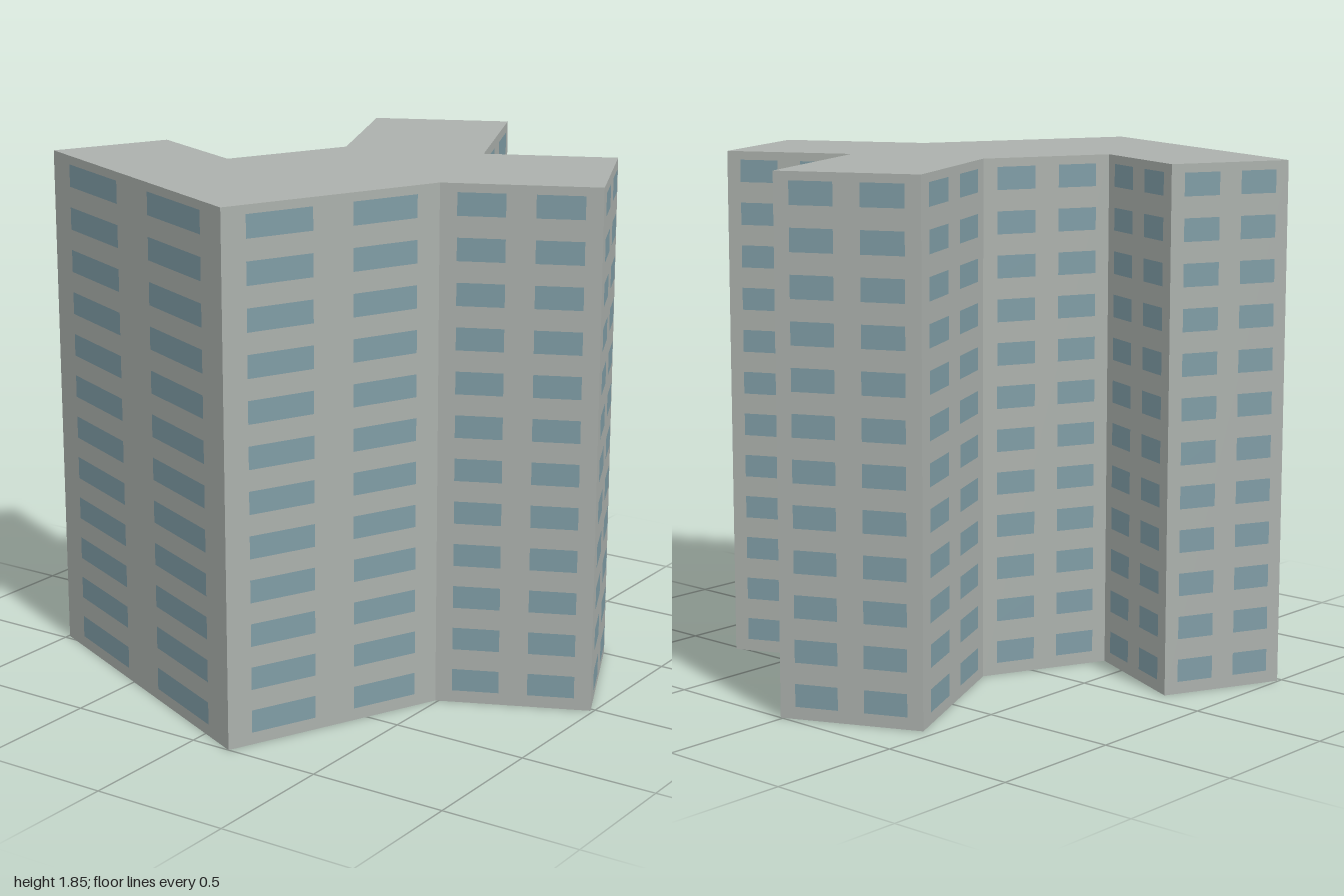
import * as THREE from 'three';
import { mergeGeometries } from 'three/addons/utils/BufferGeometryUtils.js';

const HEIGHT = 1.853;
const FLOORS = 12;
// Footprint corners as [x, z], counter-clockwise seen from above
const FOOTPRINT = [
  [-0.995, 0.48], [0.15, 1.0], [0.49, 0.24], [0.99, 0.015], [0.75, -0.52], [0.315, -0.325],
  [0.01, -1.0], [-0.455, -0.79], [-0.175, -0.175], [-0.375, 0.27], [-0.805, 0.07],
];

export function createModel() {
  const concrete = new THREE.MeshStandardMaterial({ color: 0xabb0ac, side: THREE.DoubleSide });
  concrete.name = 'concrete grey';
  const glass = new THREE.MeshStandardMaterial({ color: 0x7f9ca5 });
  glass.name = 'window blue';

  const building = new THREE.Group();
  building.name = 'apartmentBlock';

  // Flat roof; the block is an open shell underneath
  const outline = new THREE.Shape(FOOTPRINT.map(([x, z]) => new THREE.Vector2(x, -z)));
  const roof = new THREE.Mesh(new THREE.ShapeGeometry(outline).rotateX(-Math.PI / 2), concrete);
  roof.name = 'roof';
  roof.position.y = HEIGHT;
  building.add(roof);

  // One facade per footprint edge, each with two windows on every floor
  const floorHeight = HEIGHT / FLOORS;
  FOOTPRINT.forEach(([x0, z0], i) => {
    const [x1, z1] = FOOTPRINT[(i + 1) % FOOTPRINT.length];
    const length = Math.hypot(x1 - x0, z1 - z0);
    const facade = new THREE.Group();
    facade.name = `facade${i + 1}`;
    facade.position.set((x0 + x1) / 2, 0, (z0 + z1) / 2);
    facade.rotation.y = Math.atan2(z0 - z1, x1 - x0);

    const wall = new THREE.Mesh(new THREE.PlaneGeometry(length, HEIGHT), concrete);
    wall.name = 'wall';
    wall.position.y = HEIGHT / 2;

    const panes = [];
    for (let floor = 0; floor < FLOORS; floor++) {
      for (const side of [-1, 1]) {
        panes.push(new THREE.PlaneGeometry(length * 0.3, floorHeight * 0.52)
          .translate(side * length * 0.242, (floor + 0.545) * floorHeight, 0.003));
      }
    }
    const windows = new THREE.Mesh(mergeGeometries(panes), glass);
    windows.name = 'windows';

    facade.add(wall, windows);
    building.add(facade);
  });

  return building;
}
